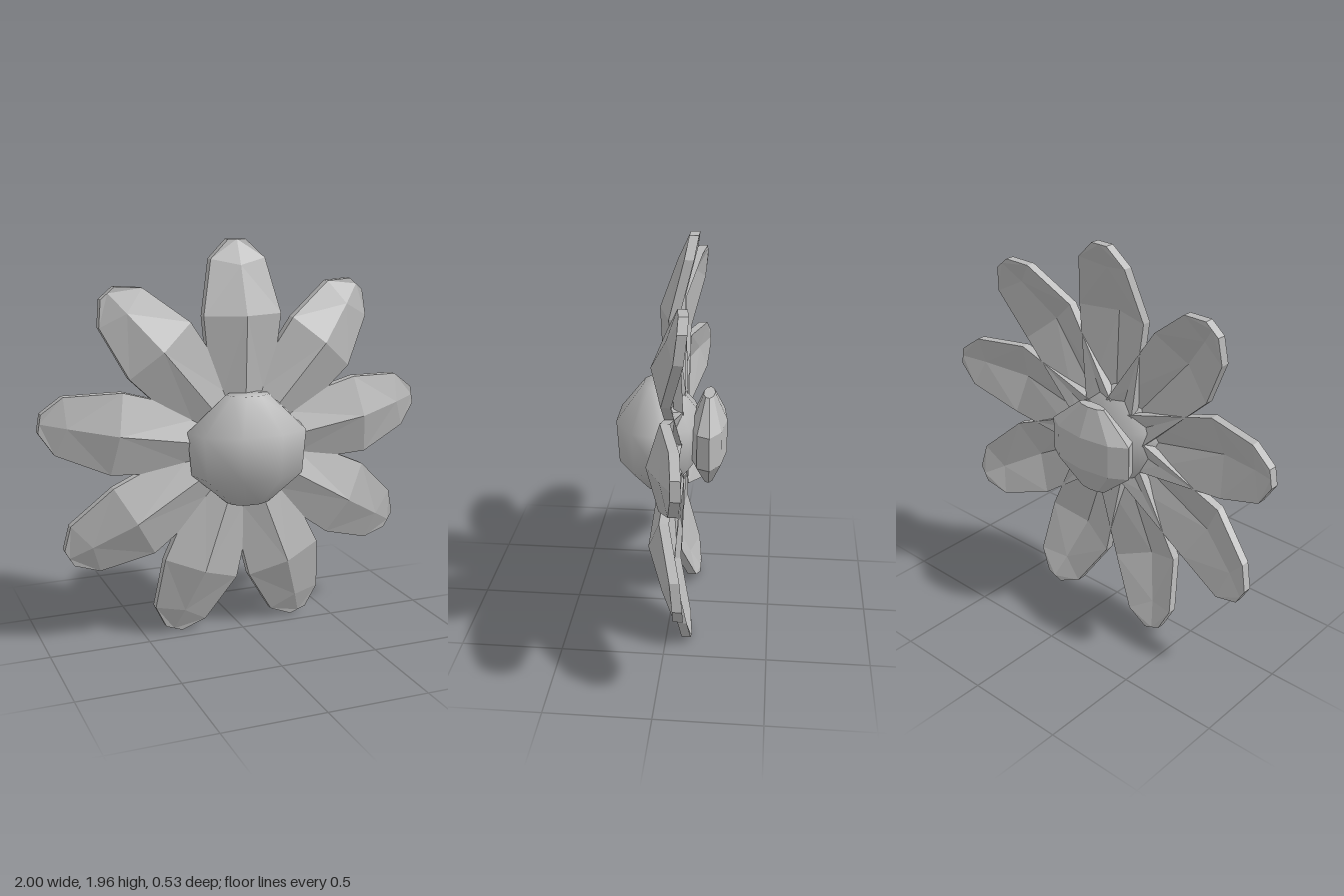
import * as THREE from 'three';

const CENTER_Y = 0.965;
const PETALS = 9;

// Petal sections from base to tip:
// [ridge radius, ridge z, side radius, half width, side z]
const SECTIONS = [
  [0.15, 0.035, 0.15, 0.145, -0.02],
  [0.65, 0.06, 0.65, 0.2, 0.0],
  [0.885, -0.025, 0.915, 0.14, -0.065],
  [1.005, -0.08, 1.005, 0.045, -0.08],
];
const THICKNESS = 0.045;

// Ridged slab petal pointing along +y, faceted
function petalGeometry() {
  const pos = [], index = [];
  for (const [rm, zm, rs, w, zs] of SECTIONS) {
    const t = THICKNESS;
    pos.push(-w, rs, zs, 0, rm, zm, w, rs, zs);
    pos.push(w, rs, zs - t, 0, rm, zm - t, -w, rs, zs - t);
  }
  const last = SECTIONS.length - 1;
  for (let i = 0; i < last; i++) {
    for (let j = 0; j < 6; j++) {
      const k = (j + 1) % 6;
      const a = i * 6 + j, b = i * 6 + k, c = b + 6, d = a + 6;
      // keep the facets mirrored about the ridge
      if (j === 0 || j === 3) index.push(a, b, c, a, c, d);
      else index.push(a, b, d, b, c, d);
    }
  }
  // Base and tip caps
  const e = last * 6;
  index.push(0, 5, 1, 5, 4, 1, 1, 4, 2, 4, 3, 2);
  index.push(e, e + 1, e + 5, e + 5, e + 1, e + 4, e + 1, e + 2, e + 4, e + 4, e + 2, e + 3);
  const g = new THREE.BufferGeometry();
  g.setAttribute('position', new THREE.Float32BufferAttribute(pos, 3));
  g.setIndex(index);
  const flat = g.toNonIndexed();
  flat.computeVertexNormals();
  return flat;
}

// Nine-sided squashed ball with flat ends, rings given as [radius, y]
function ballGeometry(rings, depth) {
  const points = [[0, rings[0][1]], ...rings, [0, rings[rings.length - 1][1]]]
    .map(([r, y]) => new THREE.Vector2(r, y));
  const g = new THREE.LatheGeometry(points, 9, Math.PI / 9);
  g.scale(1, 1, depth);
  return g;
}

export function createModel() {
  const group = new THREE.Group();
  group.name = 'flower';
  const grey = new THREE.MeshStandardMaterial({ color: 0xb8b8b8 });
  grey.name = 'grey';

  const add = (name, geometry, y, z) => {
    const mesh = new THREE.Mesh(geometry, grey);
    mesh.name = name;
    mesh.position.set(0, y, z);
    group.add(mesh);
    return mesh;
  };

  // Ring of petals
  const petal = petalGeometry();
  for (let i = 0; i < PETALS; i++) {
    add('petal' + (i + 1), petal, CENTER_Y, 0).rotation.z = (i * Math.PI * 2) / PETALS;
  }

  // Smooth flower centre
  const centre = ballGeometry([[0.11, -0.265], [0.285, -0.115], [0.304, 0.1], [0.11, 0.275]], 0.7);
  add('flowerCentre', centre, CENTER_Y, 0.065);

  // Faceted bud base behind the petals
  const base = ballGeometry([[0.08, -0.225], [0.25, -0.085], [0.25, 0.085], [0.08, 0.225]], 0.36).toNonIndexed();
  base.computeVertexNormals();
  add('budBase', base, CENTER_Y, -0.18);

  return group;
}
